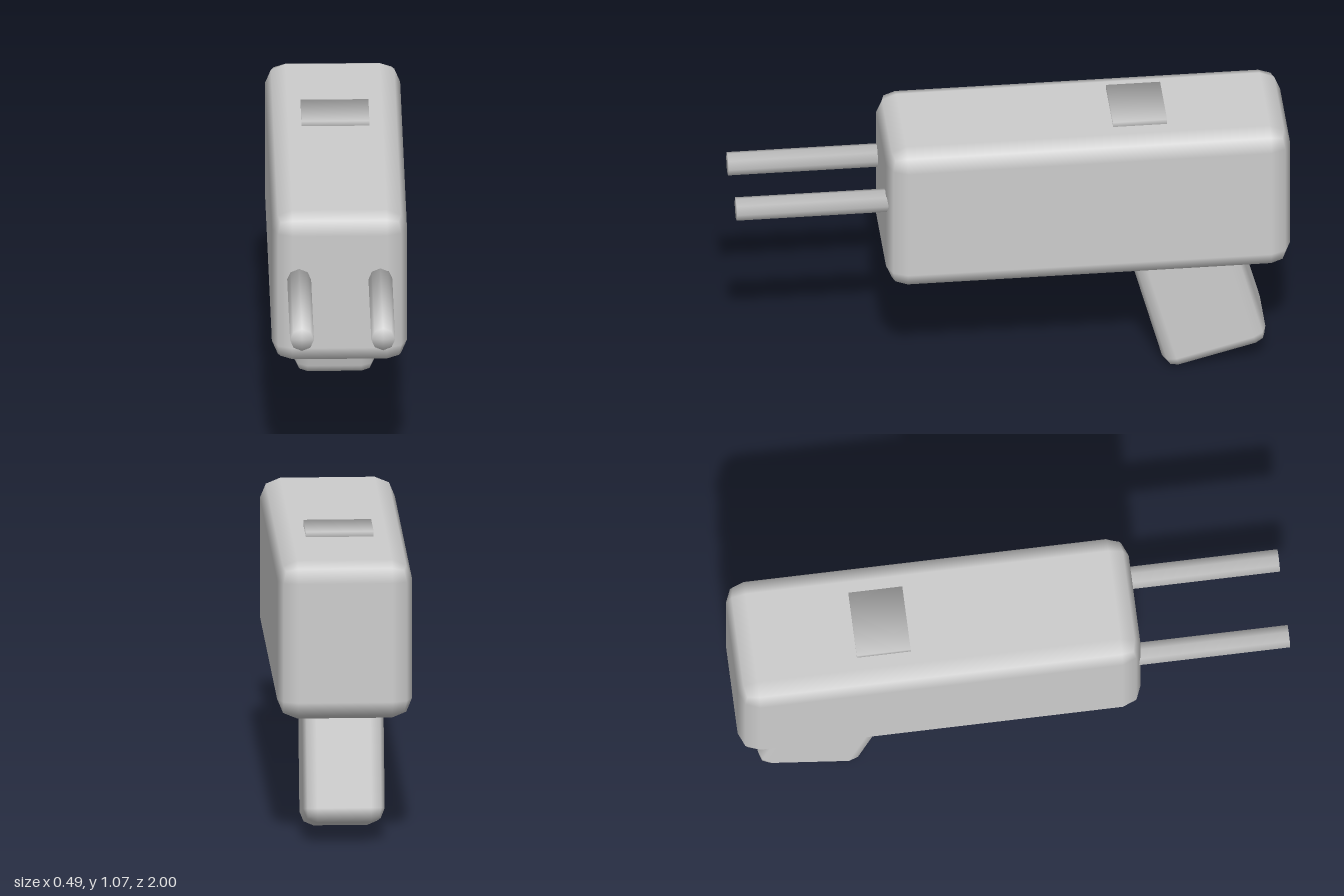
import * as THREE from 'three';
import { RoundedBoxGeometry } from 'three/addons/geometries/RoundedBoxGeometry.js';

// Point normals out through the corners, so shading runs softly over every edge
function soften(geometry, halfX, halfY, halfZ) {
  const { position, normal } = geometry.attributes;
  const half = new THREE.Vector3(halfX, halfY, halfZ);
  const v = new THREE.Vector3();
  for (let i = 0; i < position.count; i++) {
    v.fromBufferAttribute(position, i).divide(half).normalize();
    normal.setXYZ(i, v.x, v.y, v.z);
  }
  return geometry;
}

export function createModel() {
  const model = new THREE.Group();
  model.name = 'twoProngedTool';
  const grey = new THREE.MeshStandardMaterial({ color: 0xcccccc });
  grey.name = 'light grey';

  function add(name, geometry, x, y, z) {
    const mesh = new THREE.Mesh(geometry, grey);
    mesh.name = name;
    mesh.position.set(x, y, z);
    model.add(mesh);
    return mesh;
  }

  // Main housing with bevelled edges
  add('body', new RoundedBoxGeometry(0.486, 0.584, 1.46, 1, 0.073), 0, 0.759, -0.27);

  // Raked handle, its top sunk into the housing
  const grip = add('grip', new RoundedBoxGeometry(0.294, 0.58, 0.387, 1, 0.05), 0, 0.315, -0.67);
  grip.rotation.x = THREE.MathUtils.degToRad(15);

  // Thin plate on top
  add('topSwitch', soften(new THREE.BoxGeometry(0.244, 0.038, 0.195), 0.122, 0.019, 0.0975), 0, 1.051, -0.464);

  // Pair of eight-sided prongs at the front
  for (const [name, side] of [['leftProng', 1], ['rightProng', -1]]) {
    const rod = new THREE.CylinderGeometry(0.043, 0.043, 0.6, 8);
    rod.rotateX(Math.PI / 2);
    add(name, soften(rod, 0.043, 0.043, 0.3), side * 0.146, 0.808, 0.7);
  }

  return model;
}
